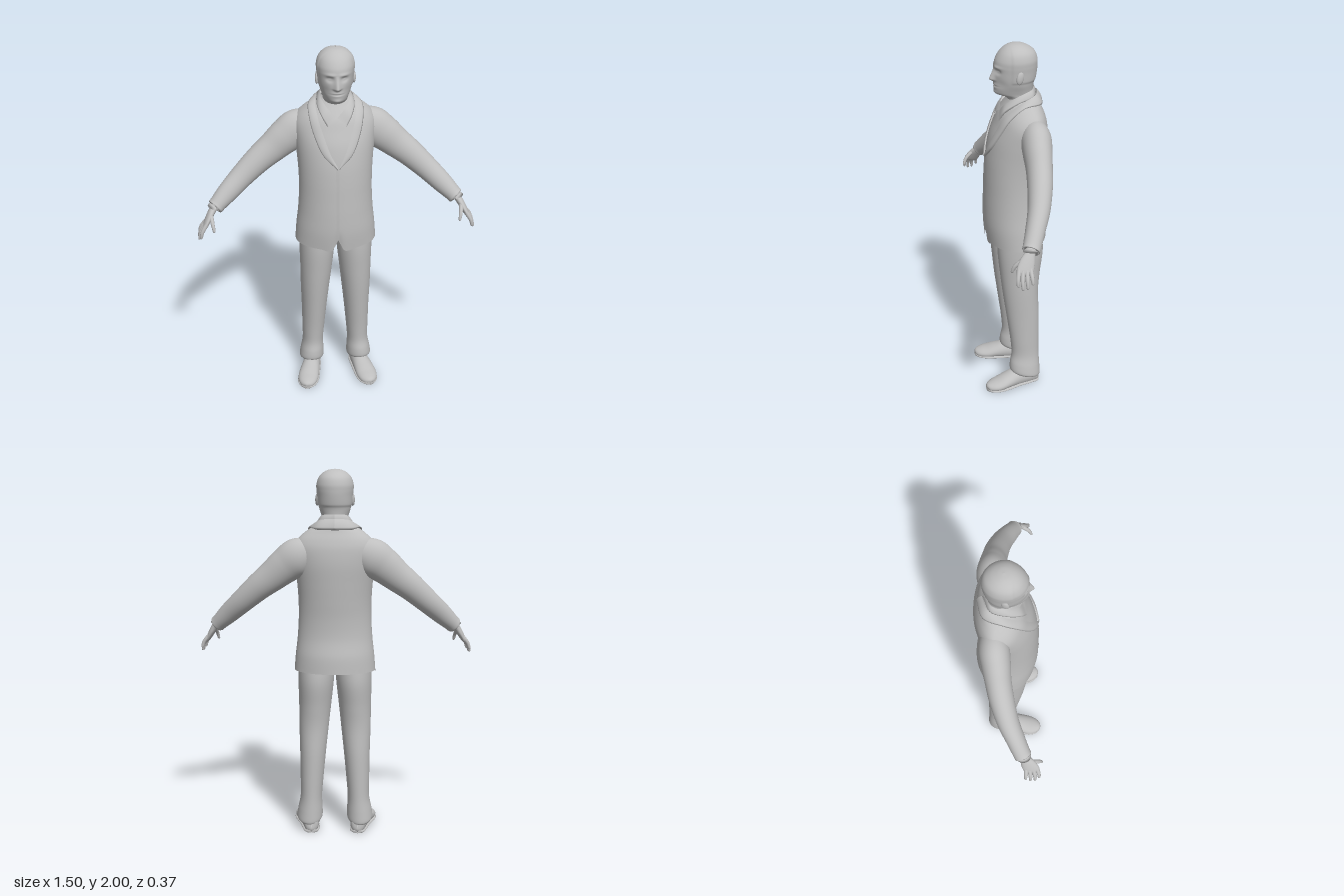
import * as THREE from 'three';

const grey = new THREE.MeshStandardMaterial({ color: 0xbfbfbf, side: THREE.DoubleSide });
grey.name = 'plainGrey';

// Smooth surface from a rule fn(u, v); closed wraps around in u
function grid(nu, nv, fn, closed = true) {
  const pos = [], idx = [], cols = closed ? nu : nu + 1;
  for (let j = 0; j <= nv; j++)
    for (let i = 0; i < cols; i++) pos.push(...fn(i / nu, j / nv));
  for (let j = 0; j < nv; j++)
    for (let i = 0; i < nu; i++) {
      const a = j * cols + i, b = j * cols + (i + 1) % cols;
      idx.push(a, a + cols, b, b, a + cols, b + cols);
    }
  const g = new THREE.BufferGeometry();
  g.setAttribute('position', new THREE.Float32BufferAttribute(pos, 3));
  g.setIndex(idx);
  g.computeVertexNormals();
  return g;
}

// Catmull-Rom blend through a list of cross-sections, t from 0 to 1
function sample(list, t) {
  const n = list.length - 1, f = Math.min(t * n, n - 1e-6), k = Math.floor(f), s = f - k;
  const a = list[Math.max(k - 1, 0)], b = list[k], c = list[k + 1], d = list[Math.min(k + 2, n)];
  return b.map((p, i) => p + 0.5 * s * (c[i] - a[i] + s * (2 * a[i] - 5 * p + 4 * c[i] - d[i]
    + s * (3 * (p - c[i]) + d[i] - a[i]))));
}

// Upright body from sections [y, centreX, halfWidth, frontZ, backZ, sideZ]
function body(list, nu, nv, warp = p => p) {
  return grid(nu, nv, (u, v) => {
    const [y, xc, hw, zf, zb, zc] = sample(list, v), a = u * Math.PI * 2, s = Math.sin(a);
    return warp([xc + hw * Math.cos(a), y, zc + s * (s > 0 ? zf - zc : zc - zb)], s);
  });
}

// Limb along a path of sections [x, y, z, radius along ref, other radius]
function limb(list, ref, nu, nv, warp = p => p) {
  const at = t => new THREE.Vector3(...sample(list, t).slice(0, 3));
  return grid(nu, nv, (u, v) => {
    const [x, y, z, ra, rb] = sample(list, v), a = u * Math.PI * 2;
    const T = at(Math.min(v + 0.01, 1)).sub(at(Math.max(v - 0.01, 0))).normalize();
    const A = ref.clone().addScaledVector(T, -ref.dot(T)).normalize();
    const B = A.clone().cross(T);
    const p = new THREE.Vector3(x, y, z).addScaledVector(A, ra * Math.cos(a)).addScaledVector(B, rb * Math.sin(a));
    return warp(p.toArray());
  });
}

function mirrored(g) {
  const m = g.clone().scale(-1, 1, 1), ix = m.index.array;
  for (let i = 0; i < ix.length; i += 3) [ix[i], ix[i + 1]] = [ix[i + 1], ix[i]];
  m.computeVertexNormals();
  return m;
}

const bump = (d, w) => Math.exp(-(d / w) * (d / w));
const X = new THREE.Vector3(1, 0, 0), Z = new THREE.Vector3(0, 0, 1);

const jacket = [
  [0.905, 0, 0.222, 0.145, -0.185, -0.02], [1.0, 0, 0.215, 0.155, -0.18, -0.02],
  [1.1, 0, 0.204, 0.156, -0.162, -0.02], [1.2, 0, 0.198, 0.153, -0.16, -0.02],
  [1.3, 0, 0.198, 0.149, -0.168, -0.025], [1.4, 0, 0.204, 0.14, -0.177, -0.04],
  [1.5, 0, 0.215, 0.12, -0.184, -0.06], [1.58, 0, 0.22, 0.09, -0.18, -0.075],
  [1.63, 0, 0.2, 0.07, -0.168, -0.08], [1.67, 0, 0.16, 0.045, -0.152, -0.075],
  [1.7, 0, 0.115, 0.025, -0.14, -0.065], [1.735, 0, 0.07, 0.005, -0.115, -0.06],
];

// Depth of the jacket front at a given x and y
function frontZ(x, y) {
  let lo = 0, hi = 1;
  for (let i = 0; i < 30; i++) {
    const m = (lo + hi) / 2;
    if (sample(jacket, m)[0] < y) lo = m; else hi = m;
  }
  const [, , hw, zf, , zc] = sample(jacket, lo);
  return zc + (zf - zc) * Math.sqrt(Math.max(0, 1 - (x / hw) ** 2));
}

// Cloth strip between two edges, raised slightly; points without z lie on the jacket
function strip(inner, outer, lift) {
  const curve = pts => new THREE.CatmullRomCurve3(pts.map(([x, y, z]) =>
    new THREE.Vector3(x, y, z ?? frontZ(x, y) + 0.004)), false, 'centripetal');
  const a = curve(inner), b = curve(outer);
  return grid(8, 40, (u, v) => {
    const w = Math.min(u / 0.875, 1), p = a.getPoint(v).lerp(b.getPoint(v), w);
    const out = u === 1 ? -0.008 : lift * Math.sin(Math.PI * (0.15 + 0.65 * w));
    const n = new THREE.Vector3(p.x, 0.06, p.z + 0.05).normalize();
    return p.addScaledVector(n, out).toArray();
  }, false);
}

const skull = [
  [1.6, 0, 0.068, 0.0, -0.115, -0.06], [1.69, 0, 0.066, 0.015, -0.113, -0.05],
  [1.722, 0, 0.067, 0.04, -0.112, -0.045], [1.738, 0, 0.067, 0.08, -0.111, -0.04],
  [1.76, 0, 0.073, 0.091, -0.112, -0.035], [1.79, 0, 0.083, 0.092, -0.116, -0.03],
  [1.82, 0, 0.089, 0.093, -0.124, -0.025], [1.86, 0, 0.093, 0.092, -0.13, -0.02],
  [1.89, 0, 0.096, 0.092, -0.132, -0.02], [1.92, 0, 0.096, 0.086, -0.131, -0.02],
  [1.955, 0, 0.085, 0.066, -0.118, -0.02], [1.98, 0, 0.063, 0.04, -0.09, -0.022],
  [1.995, 0, 0.034, 0.01, -0.055, -0.024], [2.0, 0, 0.001, -0.024, -0.026, -0.025],
];

// Nose, eye sockets, brows, mouth and chin pressed into the face
function face([x, y, z], s) {
  if (s > 0) {
    const ax = Math.abs(x);
    const nose = y > 1.818 ? Math.max(0, 1 - (y - 1.818) / 0.065) : bump(y - 1.818, 0.011);
    z += 0.026 * nose * bump(x, 0.011 + 0.006 * nose);
    z -= 0.012 * bump(ax - 0.037, 0.017) * bump(y - 1.863, 0.013);
    z += 0.005 * bump(ax - 0.037, 0.01) * bump(y - 1.862, 0.006);
    z += 0.005 * bump(ax - 0.035, 0.028) * bump(y - 1.886, 0.009);
    z += bump(x, 0.028) * (0.006 * bump(y - 1.783, 0.014) - 0.007 * bump(y - 1.783, 0.004));
    z += 0.006 * bump(x, 0.025) * bump(y - 1.747, 0.013);
    z -= 0.004 * bump(ax - 0.055, 0.02) * bump(y - 1.8, 0.025);
  }
  // slightly raised hair behind the hairline
  const hair = THREE.MathUtils.smoothstep(0.02 - z, 0, 0.012) * THREE.MathUtils.smoothstep(y, 1.8, 1.815);
  return [x * (1 + 0.03 * hair), y, z - 0.003 * hair * (s < 0 ? 1 : 0)];
}

export function createModel() {
  const man = new THREE.Group();
  man.name = 'suitedMan';
  const add = (name, g) => {
    const m = new THREE.Mesh(g, grey);
    m.name = name;
    man.add(m);
  };
  const pair = (name, g) => { add(name + 'Left', g); add(name + 'Right', mirrored(g)); };

  add('head', body(skull, 112, 110, face));

  // Jacket with a notch at the front of the hem
  add('jacket', body(jacket, 96, 66, ([x, y, z], s) => {
    const low = THREE.MathUtils.clamp((1.04 - y) / 0.13, 0, 1);
    if (s > 0) y += low * (0.06 * bump(x, 0.018) - 0.012 * bump(Math.abs(x) - 0.05, 0.03));
    else y += low * 0.012;
    return [x, y, z];
  }));
  add('jacketLining', body([[0.97, 0, 0.21, 0.142, -0.172, -0.02], [0.972, 0, 0.001, -0.019, -0.021, -0.02]], 48, 1));
  add('jacketOverlap', grid(2, 30, (u, v) => {
    const y = 0.97 + v * 0.42;
    return [-0.012 + u * 0.016, y, frontZ(0, y) + 0.001 + 0.003 * u];
  }, false));

  // Lapels running into the jacket collar, and the shirt collar inside it
  pair('lapel', strip(
    [[0, 1.395], [0.038, 1.47], [0.07, 1.56], [0.094, 1.64], [0.1, 1.705, -0.03], [0.075, 1.735, -0.105], [0, 1.742, -0.132]],
    [[0.004, 1.388], [0.074, 1.46], [0.115, 1.55], [0.136, 1.63], [0.137, 1.69, -0.04], [0.095, 1.69, -0.132], [0, 1.69, -0.158]], 0.009));
  pair('shirtCollar', strip(
    [[0.002, 1.645, 0.062], [0.045, 1.69, 0.04], [0.076, 1.735, -0.02], [0.06, 1.76, -0.09], [0, 1.765, -0.116]],
    [[0.05, 1.605], [0.078, 1.655, 0.055], [0.096, 1.7, -0.01], [0.078, 1.725, -0.095], [0, 1.73, -0.128]], 0.006));

  // Ears
  const ear = new THREE.SphereGeometry(1, 20, 14).scale(0.011, 0.035, 0.02).rotateX(-0.2).rotateY(0.25).translate(0.094, 1.84, -0.025);
  pair('ear', ear);

  // Sleeves
  pair('sleeve', limb([
    [0.1, 1.57, -0.08, 0.06, 0.07], [0.19, 1.54, -0.085, 0.078, 0.103], [0.26, 1.495, -0.078, 0.075, 0.096],
    [0.33, 1.438, -0.07, 0.068, 0.084], [0.41, 1.375, -0.055, 0.064, 0.074], [0.5, 1.295, -0.028, 0.057, 0.064],
    [0.58, 1.222, 0.01, 0.05, 0.056], [0.635, 1.17, 0.038, 0.046, 0.046], [0.652, 1.154, 0.048, 0.044, 0.044],
    [0.65, 1.157, 0.047, 0.025, 0.025]], Z, 36, 60));

  // Hands
  pair('palm', limb([
    [0.635, 1.18, 0.04, 0.026, 0.022], [0.662, 1.148, 0.055, 0.027, 0.02], [0.683, 1.115, 0.072, 0.038, 0.018],
    [0.703, 1.08, 0.088, 0.042, 0.015], [0.712, 1.063, 0.094, 0.036, 0.011], [0.716, 1.056, 0.096, 0.001, 0.001]], Z, 24, 24));
  const fingers = [
    [[0.7, 1.085, 0.118], [0.725, 1.045, 0.128], [0.733, 1.012, 0.13]],
    [[0.706, 1.08, 0.1], [0.734, 1.035, 0.108], [0.744, 0.998, 0.108]],
    [[0.707, 1.08, 0.08], [0.735, 1.04, 0.084], [0.745, 1.002, 0.084]],
    [[0.703, 1.085, 0.062], [0.732, 1.05, 0.06], [0.742, 1.02, 0.058]],
    [[0.676, 1.125, 0.092], [0.668, 1.09, 0.13], [0.662, 1.056, 0.145]],
  ];
  fingers.forEach(([a, b, c], i) => pair(i < 4 ? 'finger' + (i + 1) : 'thumb', limb([
    [...a, 0.012, 0.012], [...b, 0.01, 0.01], [...c, 0.007, 0.007],
    [...c.map((p, k) => p + (k === 1 ? -0.005 : 0)), 0.0005, 0.0005]], i < 4 ? Z : X, 12, 15)));

  // Trouser legs with the hem lower at the heel
  pair('trouserLeg', body([
    [0.07, 0.14, 0.064, 0.032, -0.13, -0.05], [0.085, 0.14, 0.071, 0.04, -0.136, -0.05],
    [0.13, 0.137, 0.068, 0.038, -0.134, -0.05], [0.2, 0.132, 0.06, 0.028, -0.13, -0.05],
    [0.3, 0.128, 0.064, 0.035, -0.13, -0.045], [0.45, 0.122, 0.072, 0.055, -0.13, -0.04],
    [0.6, 0.116, 0.082, 0.075, -0.125, -0.03], [0.72, 0.11, 0.089, 0.088, -0.135, -0.02],
    [0.86, 0.104, 0.098, 0.1, -0.152, -0.02], [1.0, 0.1, 0.1, 0.1, -0.14, -0.02]], 40, 60,
  ([x, y, z]) => [x, y + 0.25 * (z + 0.04) * THREE.MathUtils.clamp((0.25 - y) / 0.15, 0, 1), z]));

  // Shoes and soles
  const shoe = [
    [0.128, 0.04, -0.131, 0.002, 0.01], [0.129, 0.04, -0.12, 0.034, 0.045], [0.133, 0.045, -0.07, 0.046, 0.055],
    [0.145, 0.045, 0.0, 0.05, 0.055], [0.16, 0.038, 0.06, 0.056, 0.042], [0.172, 0.028, 0.11, 0.058, 0.034],
    [0.18, 0.023, 0.15, 0.049, 0.028], [0.186, 0.02, 0.178, 0.028, 0.02], [0.188, 0.018, 0.187, 0.001, 0.005]];
  pair('shoe', limb(shoe, X, 36, 44, ([x, y, z]) => [x, Math.max(y, 0.004), z]));
  pair('sole', limb(shoe.map(([x, , z, r]) => [x, 0.009, z, r * 1.06, 0.012]), X, 24, 44,
    ([x, y, z]) => [x, THREE.MathUtils.clamp(y, 0, 0.016), z]));

  return man;
}
